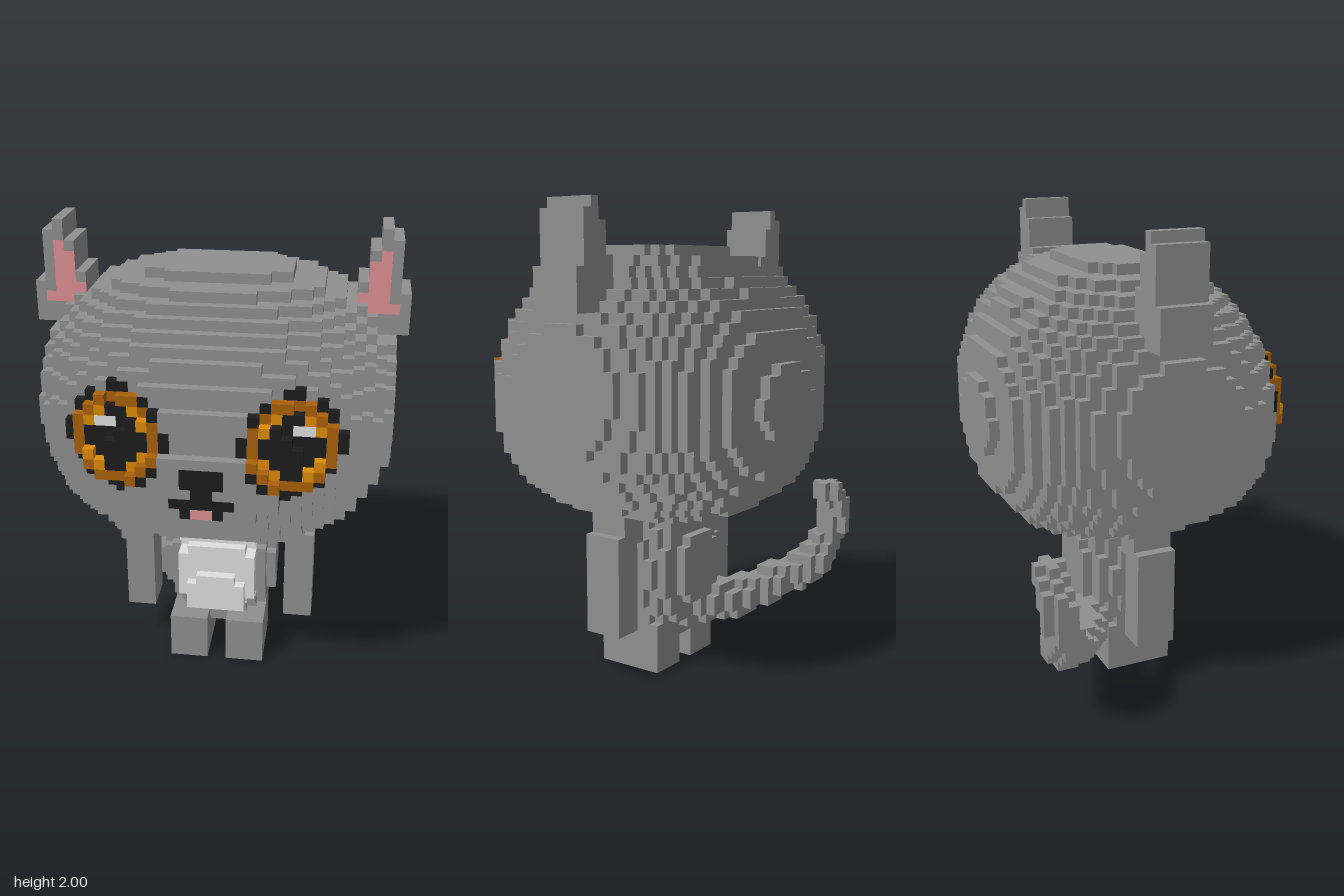
import * as THREE from 'three';

const V = 2 / 47; // cube size: the model is 47 cubes tall
const mat = (name, color) => {
  const m = new THREE.MeshStandardMaterial({ color });
  m.name = name;
  return m;
};

export function createModel() {
  const grey = mat('grey fur', 0x909090);
  const pale = mat('pale fur', 0xe0e0e0);
  const black = mat('black', 0x1d1d1d);
  const orange = mat('dark orange', 0xab620b);
  const gold = mat('gold', 0xdd8c08);
  const pink = mat('pink', 0xde9094);

  // Cube grid: x cells span [x, x+1], y cells [y, y+1], z cells are centred on z
  const grid = new Map();
  const key = (x, y, z) => `${x},${y},${z}`;
  const put = (name, material, x, y, z) => grid.set(key(x, y, z), { name, material, x, y, z });
  const box = (name, material, x0, x1, y0, y1, z0, z1) => {
    for (let x = x0; x < x1; x++)
      for (let y = y0; y < y1; y++)
        for (let z = z0; z <= z1; z++) put(name, material, x, y, z);
  };
  const fill = (name, material, x0, x1, y0, y1, z0, z1, inside) => {
    for (let x = x0; x < x1; x++)
      for (let y = y0; y < y1; y++)
        for (let z = z0; z <= z1; z++)
          if (inside(x + 0.5, y + 0.5, z)) put(name, material, x, y, z);
  };
  // Recolours the foremost cubes of a column, raised by some cubes
  const paint = (name, material, x, y, depth = 1, raise = 0) => {
    for (let z = 16; z > -15; z--) {
      if (!grid.has(key(x, y, z))) continue;
      for (let d = -raise; d < depth; d++) put(name, material, x, y, z - d);
      return;
    }
  };
  const power = (v, r, p) => Math.pow(Math.abs(v) / r, p);
  const mirror = (s, x) => (s > 0 ? x : -1 - x);
  const sides = [['left', 1], ['right', -1]];

  // Torso with a bulging pale belly
  fill('torso', grey, -7, 7, 3, 18, -6, 7, (x, y, z) =>
    power(x, 6.1, 2) + power(y - 10.5, 7.8, 2) + power(z + 0.5, 4.05, 2) <= 1);
  box('neck', grey, -4, 4, 14, 19, -3, 3);
  fill('belly', pale, -4, 4, 7, 14, 4, 4, (x, y) => power(x, 4.3, 2.5) + power(y - 10.5, 4.1, 2.5) <= 1);
  box('belly', pale, -3, 3, 7, 10, 5, 5);
  box('belly', pale, -2, 2, 10, 11, 5, 5);
  for (let x = -4; x < 4; x++)
    for (let y = 5; y < 17; y++)
      if (power(x + 0.5, 4.3, 2) + power(y + 0.5 - 11, 6.2, 2) <= 1) paint('belly', pale, x, y, 2);

  // Legs and arms
  for (const [side, s] of sides) {
    const block = (name, x0, x1, ...rest) =>
      s > 0 ? box(side + name, grey, x0, x1, ...rest) : box(side + name, grey, -x1, -x0, ...rest);
    block('Leg', 1, 5, 0, 5, -2, 4);
    block('Arm', 7, 10, 5, 15, -1, 2);
    block('Arm', 6, 9, 14, 16, -1, 2);
    block('Arm', 4, 9, 16, 18, -1, 2);
  }

  // Tail: cubes near a curved path
  const tail = new THREE.CatmullRomCurve3([
    [-2, 6.2, -3.5], [-6, 6, -5.5], [-10, 7.3, -8], [-13, 9, -10.5],
    [-15.4, 12, -11.5], [-15.2, 15, -12], [-13.7, 16.8, -12],
  ].map(p => new THREE.Vector3(...p)));
  const path = tail.getPoints(80);
  const cell = new THREE.Vector3();
  fill('tail', grey, -18, 0, 3, 19, -14, -3, (x, y, z) => {
    cell.set(x, y, z);
    return path.some((p, i) => p.distanceTo(cell) < 1.95 - i * 0.007);
  });

  // Head: rounded block with a sloping brow, a low bulge at the back and a muzzle
  fill('head', grey, -18, 18, 16, 43, -15, 15, (x, y, z) => {
    const slope = z < 0 ? 0.009 : y > 29 ? 0.024 : 0;
    const dy = y - 30 + slope * z * z;
    return power(x, 17.4, 2.5) + power(dy, dy > 0 ? 13.1 : 13.8, 2.5) + power(z, z > 0 ? 14.3 : 14.2, 2.5) <= 1;
  });
  box('head', grey, -5, 5, 23, 24, 14, 14);
  box('head', grey, -7, 7, 24, 27, 14, 14);
  box('head', grey, -6, 6, 27, 28, 14, 14);
  box('head', grey, -5, 5, 28, 29, 14, 14);

  // Ears: rows of [y, first x, last x, inner first x, inner last x]
  const earRows = [
    [46, 15, 15], [45, 15, 16], [44, 14, 16, 15, 15], [43, 14, 16, 14, 15], [42, 14, 16, 14, 15],
    [41, 13, 16, 14, 15], [40, 13, 17, 13, 15], [39, 13, 17, 14, 16], [38, 14, 17], [37, 14, 17],
  ];
  for (const [side, s] of sides)
    for (const [y, a, b, c, d] of earRows)
      for (let x = a; x <= b; x++)
        for (let z = -3; z <= 1; z++) {
          put(side + 'Ear', grey, mirror(s, x), y, z);
          // only the front face of the inner ear is pink
          if (z === 1 && x >= c && x <= d)
            grid.get(key(mirror(s, x), y, z)).front = { name: side + 'InnerEar', material: pink };
        }

  // Eyes: black rim, orange iris with gold flecks, black pupil, pale glint
  for (const [side, s] of sides)
    for (let x = 3; x < 13; x++)
      for (let y = 25; y < 35; y++) {
        const dx = x + 0.5 - 8, dy = y + 0.5 - 30, r2 = dx * dx + dy * dy;
        if (r2 > 21) continue;
        let part = ['EyeRim', black];
        if (r2 < 16) part = ['Iris', orange];
        if (r2 < 9) part = ['IrisFleck', gold];
        if (r2 < 8) part = ['Pupil', black];
        if (y === 31 && (x === 8 || x === 9)) part = ['EyeGlint', pale];
        const raise = dx > 1 && r2 > 8 && r2 < 16 ? 1 : 0;
        paint(side + part[0], part[1], mirror(s, x), y, 2, raise);
      }

  // Nose, mouth and tongue
  for (const [name, material, y, half] of [
    ['nose', black, 27, 2], ['nose', black, 26, 2], ['nose', black, 25, 1],
    ['mouth', black, 24, 3], ['mouth', black, 23, 2], ['tongue', pink, 23, 1], ['mouth', black, 22, 1],
  ]) for (let x = -half; x < half; x++) paint(name, material, x, y);

  // Turn the exposed cube faces of each part into one mesh
  const parts = new Map();
  const corners = [[0, 0], [1, 0], [1, 1], [0, 1]];
  for (const c of grid.values())
    for (let axis = 0; axis < 3; axis++)
      for (const s of [1, -1]) {
        const n = [0, 0, 0];
        n[axis] = s;
        if (grid.has(key(c.x + n[0], c.y + n[1], c.z + n[2]))) continue;
        const { name, material } = (n[2] > 0 && c.front) || c;
        if (!parts.has(name)) parts.set(name, { material, pos: [], nor: [], idx: [] });
        const { pos, nor, idx } = parts.get(name);
        const base = pos.length / 3;
        for (const [u, w] of corners) {
          const p = [c.x, c.y, c.z - 0.5];
          p[axis] += s > 0 ? 1 : 0;
          p[(axis + 1) % 3] += u;
          p[(axis + 2) % 3] += w;
          pos.push(p[0] * V, p[1] * V, p[2] * V);
          nor.push(...n);
        }
        const order = s > 0 ? [0, 1, 2, 0, 2, 3] : [0, 2, 1, 0, 3, 2];
        idx.push(...order.map(i => base + i));
      }
  const group = new THREE.Group();
  group.name = 'cat';
  for (const [name, { material, pos, nor, idx }] of parts) {
    const geometry = new THREE.BufferGeometry();
    geometry.setAttribute('position', new THREE.Float32BufferAttribute(pos, 3));
    geometry.setAttribute('normal', new THREE.Float32BufferAttribute(nor, 3));
    geometry.setIndex(idx);
    const mesh = new THREE.Mesh(geometry, material);
    mesh.name = name;
    group.add(mesh);
  }
  return group;
}
